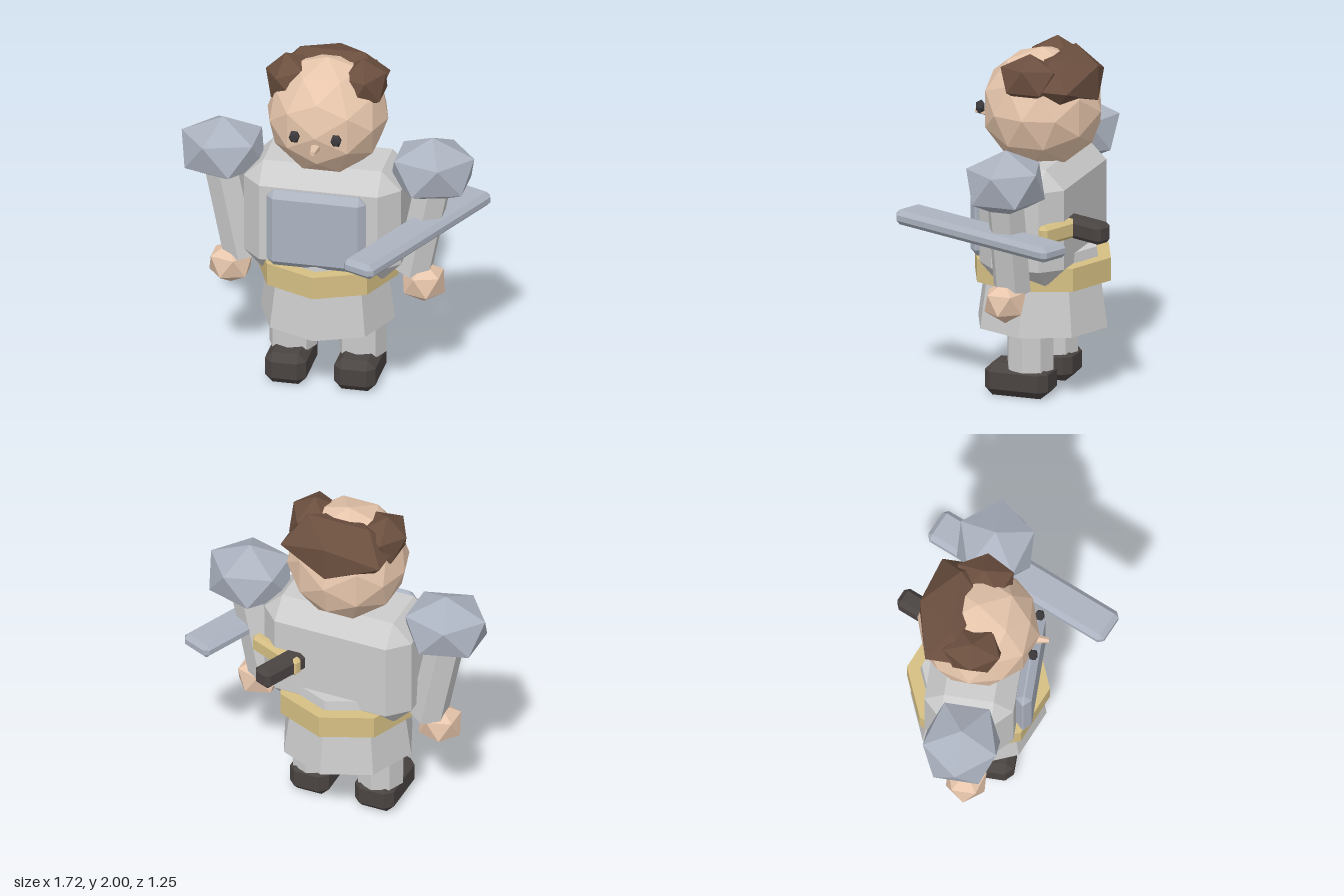
import * as THREE from 'three';
import { ConvexGeometry } from 'three/addons/geometries/ConvexGeometry.js';

const mat = (color) => new THREE.MeshStandardMaterial({ color, flatShading: true });

// Box with single flat chamfers on every edge and cut corners
function chamferBox(w, h, d, c) {
  const pts = [];
  for (const x of [-1, 1]) for (const y of [-1, 1]) for (const z of [-1, 1]) {
    const X = x * w / 2, Y = y * h / 2, Z = z * d / 2;
    pts.push(new THREE.Vector3(X, Y - y * c, Z - z * c));
    pts.push(new THREE.Vector3(X - x * c, Y, Z - z * c));
    pts.push(new THREE.Vector3(X - x * c, Y - y * c, Z));
  }
  return new ConvexGeometry(pts);
}

// Icosahedron turned by tilt about z, then stretched
const gem = (rx, ry, rz, tilt = 0) =>
  new THREE.IcosahedronGeometry(1, 0).rotateZ(tilt).scale(rx, ry, rz);

const POINT_UP = 0.553; // tilt that brings a corner of the icosahedron to the top

export function createModel() {
  const group = new THREE.Group();
  group.name = 'knight';
  const cloth = mat(0xcccccc), steel = mat(0xacb3c0), skin = mat(0xe6c5ab);
  const hair = mat(0x6b4f3f), gold = mat(0xd6c084), leather = mat(0x4a4442), dark = mat(0x3c3a3c);

  const add = (parent, name, geometry, material, x = 0, y = 0, z = 0) => {
    const mesh = new THREE.Mesh(geometry, material);
    mesh.name = name;
    mesh.position.set(x, y, z);
    parent.add(mesh);
    return mesh;
  };

  // Body, centred on its own axis
  const body = new THREE.Group();
  body.name = 'body';
  body.position.set(-0.022, 0, -0.118);
  group.add(body);

  add(body, 'torso', chamferBox(0.91, 0.69, 0.51, 0.112), cloth, 0, 1.03, 0);
  add(body, 'breastplate', chamferBox(0.575, 0.475, 0.09, 0.04), steel, 0, 1.037, 0.3);
  add(body, 'skirt', new THREE.CylinderGeometry(0.325, 0.39, 0.47, 8), cloth, 0, 0.615, 0);
  add(body, 'belt', new THREE.CylinderGeometry(0.41, 0.41, 0.135, 8), gold, 0, 0.725, 0);

  // Head and face
  add(body, 'head', new THREE.IcosahedronGeometry(0.35, 1), skin, 0, 1.645, 0);
  add(body, 'nose', new THREE.CylinderGeometry(0.015, 0.032, 0.1, 6).rotateX(Math.PI / 2), skin, 0, 1.58, 0.355);

  // Hair: one mass at the back, two tufts at the sides
  add(body, 'backHair', gem(0.36, 0.19, 0.24), hair, 0, 1.815, -0.13);
  add(body, 'leftTuft', gem(0.145, 0.15, 0.19, -0.48), hair, 0.213, 1.855, 0.002);
  add(body, 'rightTuft', gem(0.15, 0.155, 0.19, 0.75), hair, -0.215, 1.845, 0.002);

  // Paired parts
  for (const s of [1, -1]) {
    const side = s > 0 ? 'left' : 'right';
    add(body, side + 'Eye', gem(0.034, 0.042, 0.03), dark, s * 0.121, 1.64, 0.333);
    add(body, side + 'Pauldron', gem(0.27, 0.198, 0.247, -s * POINT_UP), steel, s * 0.607, 1.35, 0);
    const arm = add(body, side + 'Arm', new THREE.CylinderGeometry(0.11, 0.11, 0.62, 6), cloth, s * 0.558, 1.0, 0);
    arm.rotation.z = -s * 0.2;
    add(body, side + 'Hand', gem(0.138, 0.125, 0.13, s * POINT_UP), skin, s * 0.56, 0.64, 0.02);
    add(body, side + 'Leg', new THREE.CylinderGeometry(0.138, 0.138, 0.45, 8), cloth, s * 0.201, 0.385, 0);
    add(body, side + 'Boot', chamferBox(0.24, 0.19, 0.38, 0.045), leather, s * 0.201, 0.095, 0.058);
  }

  // Sword lying level: the pivot is the free end of the grip
  const sword = new THREE.Group();
  sword.name = 'sword';
  sword.position.set(0.302, 1.027, -0.615);
  sword.rotation.y = -0.408;
  group.add(sword);
  add(sword, 'grip', chamferBox(0.12, 0.12, 0.36, 0.025), leather, 0, 0, 0.18);
  add(sword, 'guard', chamferBox(0.36, 0.11, 0.07, 0.02), gold, 0.11, 0, 0.23);
  add(sword, 'blade', chamferBox(0.205, 0.087, 1.18, 0.027), steel, 0.476, 0, 0.519);

  return group;
}
